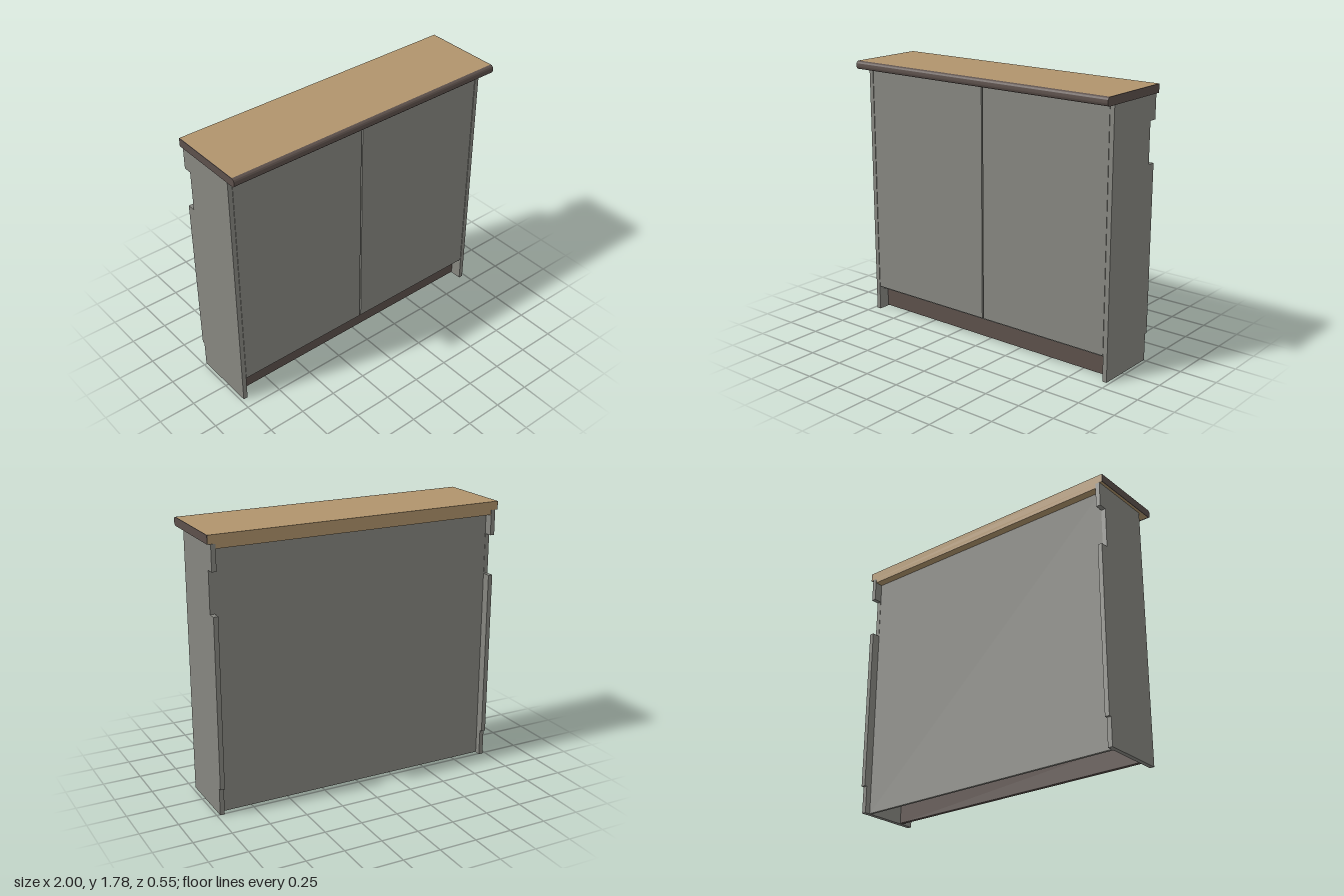
import * as THREE from 'three';
import { toCreasedNormals } from 'three/addons/utils/BufferGeometryUtils.js';

export function createModel() {
  const group = new THREE.Group();
  const material = (name, color) => {
    const m = new THREE.MeshStandardMaterial({ color });
    m.name = name;
    return m;
  };
  const grey = material('greyPanel', 0x868680);
  const brown = material('darkBrownEdge', 0x5c504b);
  const wood = material('woodTop', 0xb0946c);

  const add = (name, geometry, mat) => {
    const mesh = new THREE.Mesh(geometry, mat);
    mesh.name = name;
    group.add(mesh);
    return mesh;
  };

  // Box given by its lower and upper limits on each axis
  const box = (name, mat, [x0, x1], [y0, y1], [z0, z1]) => {
    const g = new THREE.BoxGeometry(x1 - x0, y1 - y0, z1 - z0);
    g.translate((x0 + x1) / 2, (y0 + y1) / 2, (z0 + z1) / 2);
    return add(name, g, mat);
  };

  // Extrudes a (z, y) profile along x, centred on cx
  const extrudeX = (shape, width, cx) => {
    const g = new THREE.ExtrudeGeometry(shape, { depth: width, bevelEnabled: false, curveSegments: 8 });
    g.rotateY(-Math.PI / 2);
    g.translate(cx + width / 2, 0, 0);
    return toCreasedNormals(g, 0.6);
  };

  // Side panels, notched along the back edge
  const side = new THREE.Shape([
    [0.175, 0], [0.175, 1.73], [-0.275, 1.73], [-0.275, 1.565], [-0.22, 1.565],
    [-0.22, 1.295], [-0.275, 1.295], [-0.275, 0.18], [-0.257, 0.18], [-0.257, 0],
  ].map(([z, y]) => new THREE.Vector2(z, y)));
  add('leftSidePanel', extrudeX(side, 0.03, 0.965), grey);
  add('rightSidePanel', extrudeX(side, 0.03, -0.965), grey);

  // Carcass between the side panels
  box('backPanel', grey, [-0.95, 0.95], [0.002, 1.7], [-0.218, -0.2]);
  box('bottomPanel', grey, [-0.95, 0.95], [0.15, 0.18], [-0.2, 0.145]);
  box('topPanel', wood, [-0.95, 0.95], [1.7, 1.73], [-0.272, 0.145]);
  box('kickBoard', brown, [-0.95, 0.95], [0.005, 0.15], [0.07, 0.095]);

  // Inset pair of doors
  for (const s of [-1, 1]) {
    const xs = [s * 0.005, s * 0.947].sort((a, b) => a - b);
    box(s > 0 ? 'leftDoor' : 'rightDoor', grey, xs, [0.17, 1.725], [0.147, 0.174]);
  }

  // Worktop with dark end strips and a rounded front edge
  const y0 = 1.73, y1 = 1.785, r = 0.02;
  box('worktop', wood, [-0.996, 0.996], [y0, y1], [-0.272, 0.252]);
  for (const s of [-1, 1]) {
    const xs = [s * 0.996, s].sort((a, b) => a - b);
    box(s > 0 ? 'leftWorktopEdge' : 'rightWorktopEdge', brown, xs, [y0, y1], [-0.272, 0.252]);
  }
  const nose = new THREE.Shape();
  nose.moveTo(0.252, y0);
  nose.lineTo(0.275 - r, y0);
  nose.absarc(0.275 - r, y0 + r, r, -Math.PI / 2, 0, false);
  nose.absarc(0.275 - r, y1 - r, r, 0, Math.PI / 2, false);
  nose.lineTo(0.252, y1);
  nose.closePath();
  add('roundedFrontEdge', extrudeX(nose, 2, 0), brown);

  return group;
}
